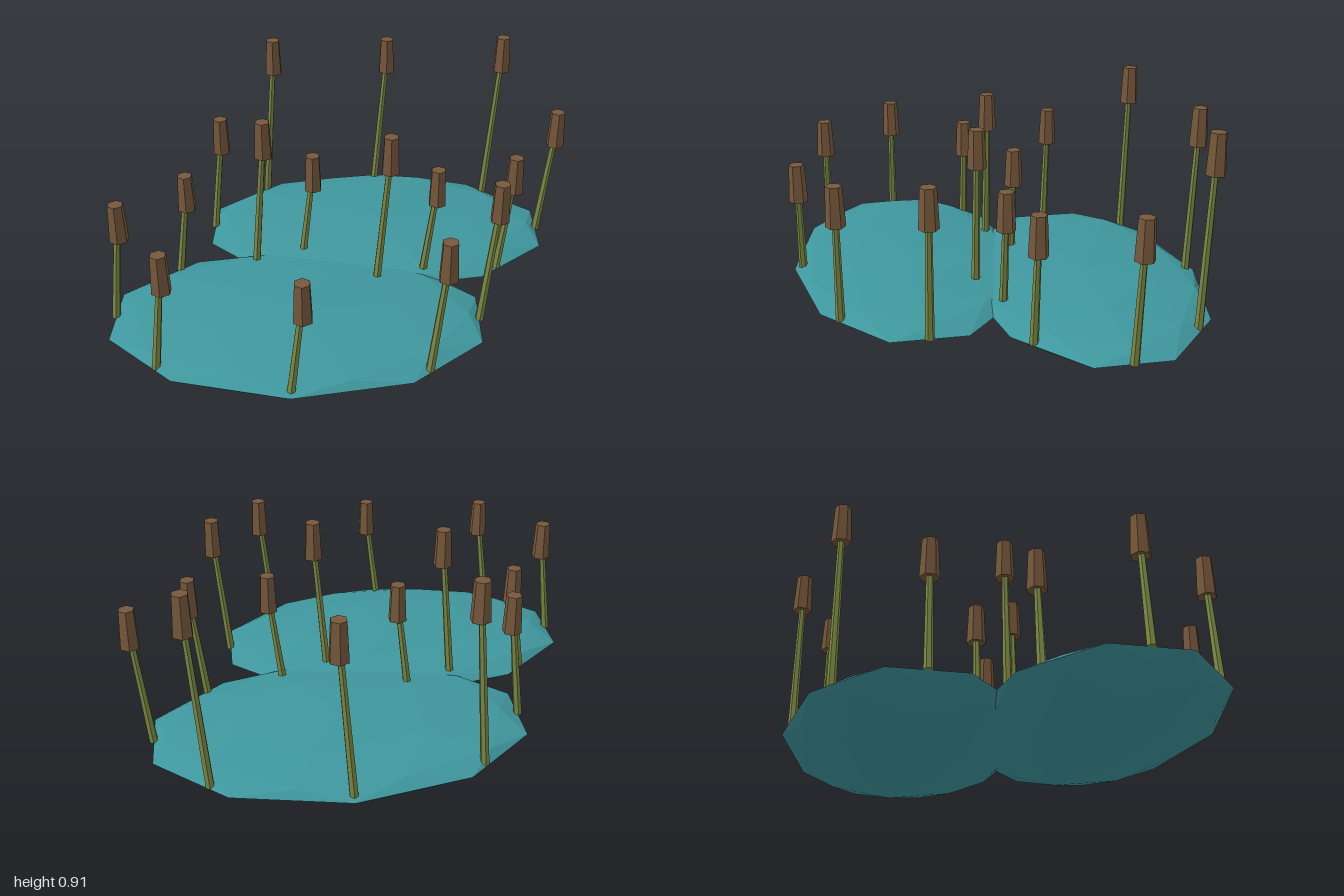
import * as THREE from 'three';

const water = new THREE.MeshStandardMaterial({ name: 'water teal', color: 0x3f979e });
const reedGreen = new THREE.MeshStandardMaterial({ name: 'reed green', color: 0x7f8a45 });
const reedBrown = new THREE.MeshStandardMaterial({ name: 'cattail brown', color: 0x77583c });
for (const m of [water, reedGreen, reedBrown]) m.flatShading = true;

const POND_Y = 0.066;      // height of the widest part of a pond
const LEAN = 0.053;        // sideways shift from reed foot to head
const HEAD_HEIGHT = 0.167;

// Flattened faceted ball, turned so a corner points up and the upper ring starts at +x
function makePond() {
  const geo = new THREE.IcosahedronGeometry(1, 1);
  geo.rotateX(-Math.atan((1 + Math.sqrt(5)) / 2));
  geo.rotateY(Math.PI / 2);
  geo.scale(0.81, POND_Y, 0.517);
  const pond = new THREE.Mesh(geo, water);
  pond.name = 'pond';
  pond.position.y = POND_Y;
  return pond;
}

// Leaning stalk with an upright, tapered six-sided head; top is the head's top height
function makeCattail(top) {
  const cattail = new THREE.Group();
  cattail.name = 'cattail';
  const headY = top - HEAD_HEIGHT / 2;
  const foot = new THREE.Vector3(0, POND_Y, 0);
  const tip = new THREE.Vector3(LEAN, headY, 0);
  const dir = tip.clone().sub(foot);

  const stalk = new THREE.Mesh(
    new THREE.CylinderGeometry(0.013, 0.019, dir.length(), 6), reedGreen);
  stalk.name = 'stalk';
  stalk.position.copy(foot).add(tip).multiplyScalar(0.5);
  stalk.quaternion.setFromUnitVectors(new THREE.Vector3(0, 1, 0), dir.normalize());

  const head = new THREE.Mesh(
    new THREE.CylinderGeometry(0.033, 0.041, HEAD_HEIGHT, 6), reedBrown);
  head.name = 'head';
  head.position.copy(tip);

  cattail.add(stalk, head);
  return cattail;
}

// Pond centres, with cattail heights going round from +x towards +z
const PONDS = [
  { name: 'backPond', x: 0.132, z: -0.37, tops: [0.685, 0.63, 0.8, 0.795, 0.64, 0.89, 0.842, 0.91] },
  { name: 'frontPond', x: -0.205, z: 0.363, tops: [0.725, 0.67, 0.58, 0.605, 0.62, 0.565, 0.59, 0.6] },
];

export function createModel() {
  const model = new THREE.Group();
  model.name = 'cattailPonds';
  for (const { name, x, z, tops } of PONDS) {
    const group = new THREE.Group();
    group.name = name;
    group.position.set(x, 0, z);
    group.add(makePond());
    tops.forEach((top, i) => {
      const a = (i / tops.length) * Math.PI * 2;
      const cattail = makeCattail(top);
      cattail.position.set(0.77 * Math.cos(a), 0, 0.478 * Math.sin(a));
      group.add(cattail);
    });
    model.add(group);
  }
  return model;
}
